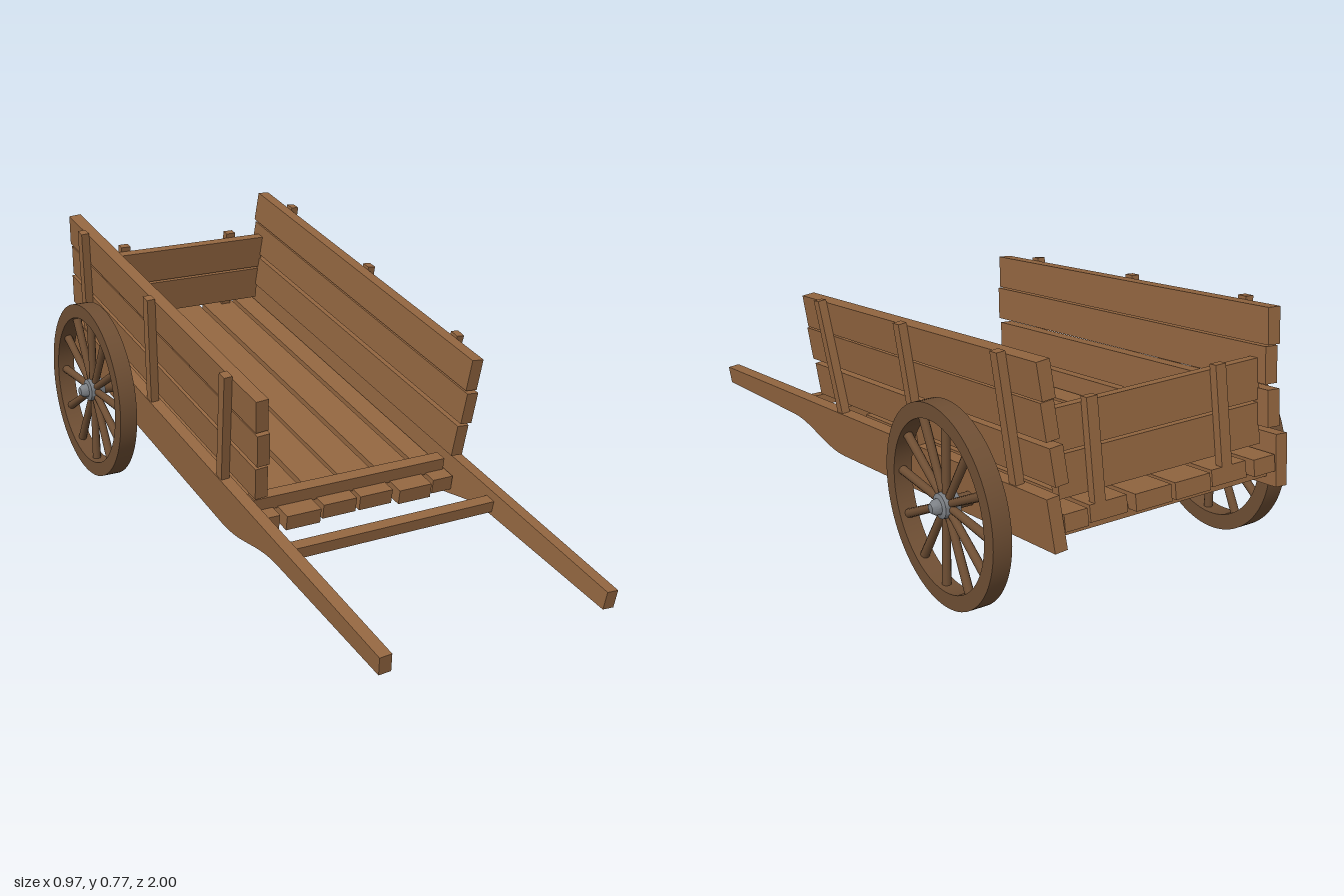
import * as THREE from 'three';
import { toCreasedNormals } from 'three/addons/utils/BufferGeometryUtils.js';

const material = (name, color) => {
  const m = new THREE.MeshStandardMaterial({ color });
  m.name = name;
  return m;
};

export function createModel() {
  const wood = material('plank wood', 0x936640);
  const wheelWood = material('wheel wood', 0x6f4f34);
  const iron = material('hub iron', 0x7c8085);

  const add = (parent, name, geometry, mat, x = 0, y = 0, z = 0) => {
    const mesh = new THREE.Mesh(geometry, mat);
    mesh.name = name;
    mesh.position.set(x, y, z);
    parent.add(mesh);
    return mesh;
  };
  // Box given by its extents on each axis
  const slab = (parent, name, [x0, x1], [y0, y1], [z0, z1]) =>
    add(parent, name, new THREE.BoxGeometry(x1 - x0, y1 - y0, z1 - z0), wood,
      (x0 + x1) / 2, (y0 + y1) / 2, (z0 + z1) / 2);
  const mirrored = (a, b, s) => (s > 0 ? [a, b] : [-b, -a]);

  const cart = new THREE.Group();
  cart.name = 'handcart';

  // Body, pitched so the handles come down to the ground
  const body = new THREE.Group();
  body.name = 'body';
  body.rotation.x = 0.185;
  cart.add(body);

  // Floor slats
  const slats = [[0.006, 0.115, 0.268], [0.131, 0.241, 0.282], [0.256, 0.324, 0.268]];
  for (const s of [1, -1]) {
    for (const [a, b, front] of slats) {
      slab(body, 'floorSlat', mirrored(a, b, s), [0.155, 0.2], [-1.304 + front, front]);
    }
  }

  // Cross beams under the floor, batten on it, and the bar between the handles
  for (const [y, z] of [[0.14, 0.09], [0.14, -0.382], [0.15, -0.985]]) {
    slab(body, 'floorBeam', [-0.33, 0.33], [y - 0.016, y + 0.016], [z - 0.016, z + 0.016]);
  }
  slab(body, 'frontBatten', [-0.318, 0.318], [0.195, 0.237], [0.185, 0.224]);
  slab(body, 'handleBar', [-0.34, 0.34], [0.193, 0.227], [0.428, 0.464]);

  // Tailboard with its two posts
  slab(body, 'tailPlank', [-0.31, 0.31], [0.225, 0.335], [-0.998, -0.968]);
  slab(body, 'tailPlank', [-0.318, 0.318], [0.342, 0.451], [-0.998, -0.968]);
  for (const x of [-0.18, 0.21]) {
    slab(body, 'tailPost', [x - 0.016, x + 0.016], [0.2, 0.466], [-1.023, -0.998]);
  }

  // Rail outline: deep under the bed, narrowing to the handle
  const outline = new THREE.Shape();
  outline.moveTo(-1.037, 0);
  outline.lineTo(-1.037, -0.14);
  outline.lineTo(0.121, -0.14);
  outline.bezierCurveTo(0.25, -0.14, 0.33, -0.07, 0.46, -0.069);
  outline.lineTo(0.973, -0.054);
  outline.lineTo(0.973, 0);
  outline.closePath();
  const railGeometry = toCreasedNormals(
    new THREE.ExtrudeGeometry(outline, { depth: 0.036, bevelEnabled: false, curveSegments: 10 })
      .translate(0, 0, -0.018).rotateY(-Math.PI / 2), 0.5);

  // Sides, leaning outwards
  for (const s of [1, -1]) {
    const side = new THREE.Group();
    side.name = s > 0 ? 'leftSide' : 'rightSide';
    side.position.set(s * 0.35, 0.25, 0);
    side.rotation.z = -s * 0.077;
    body.add(side);
    add(side, 'railAndHandle', railGeometry, wood, s * 0.001);
    for (const [y0, y1, shift] of [[0.022, 0.12, 0], [0.133, 0.231, 0.01], [0.236, 0.333, 0]]) {
      slab(side, 'sidePlank', mirrored(-0.047, -0.009, s), [y0, y1], [-1.039 + shift, 0.271 + shift]);
    }
    for (const [z, tilt] of [[0.107, 0.057], [-0.381, -0.025], [-0.883, -0.03]]) {
      const post = slab(side, 'sidePost', mirrored(-0.009, 0.016, s), [-0.002, 0.342], [z - 0.016, z + 0.016]);
      post.rotation.x = tilt;
    }
  }

  // Wheels on a straight axle
  const running = new THREE.Group();
  running.name = 'wheelsAndAxle';
  running.position.set(0, 0.275, -0.606);
  cart.add(running);
  add(running, 'axle', new THREE.CylinderGeometry(0.019, 0.019, 0.86, 20).rotateZ(Math.PI / 2), wheelWood);

  const ring = new THREE.Shape().absarc(0, 0, 0.275, 0, Math.PI * 2);
  ring.holes.push(new THREE.Path().absarc(0, 0, 0.232, 0, Math.PI * 2, true));
  const rimGeometry = toCreasedNormals(
    new THREE.ExtrudeGeometry(ring, { depth: 0.054, bevelEnabled: false, curveSegments: 48 })
      .translate(0, 0, -0.027).rotateY(Math.PI / 2), 0.5);
  const spokeGeometry = new THREE.CylinderGeometry(0.013, 0.011, 0.22, 10).translate(0, 0.13, 0);
  // Hub profile: radius, distance along the axle
  const hubProfile = [[0, -0.026], [0.034, -0.026], [0.036, 0], [0.034, 0.02], [0.022, 0.024],
    [0.02, 0.036], [0.012, 0.047], [0, 0.051]].map(([r, h]) => new THREE.Vector2(r, h));
  const hubGeometry = toCreasedNormals(new THREE.LatheGeometry(hubProfile, 24), 0.6);

  for (const s of [1, -1]) {
    const wheel = new THREE.Group();
    wheel.name = s > 0 ? 'leftWheel' : 'rightWheel';
    wheel.position.x = s * 0.432;
    running.add(wheel);
    add(wheel, 'rim', rimGeometry, wheelWood);
    for (let i = 0; i < 12; i++) {
      add(wheel, 'spoke', spokeGeometry, wheelWood).rotation.x = i * Math.PI / 6;
    }
    add(wheel, 'hub', hubGeometry, iron).rotation.z = -s * Math.PI / 2;
  }

  return cart;
}
